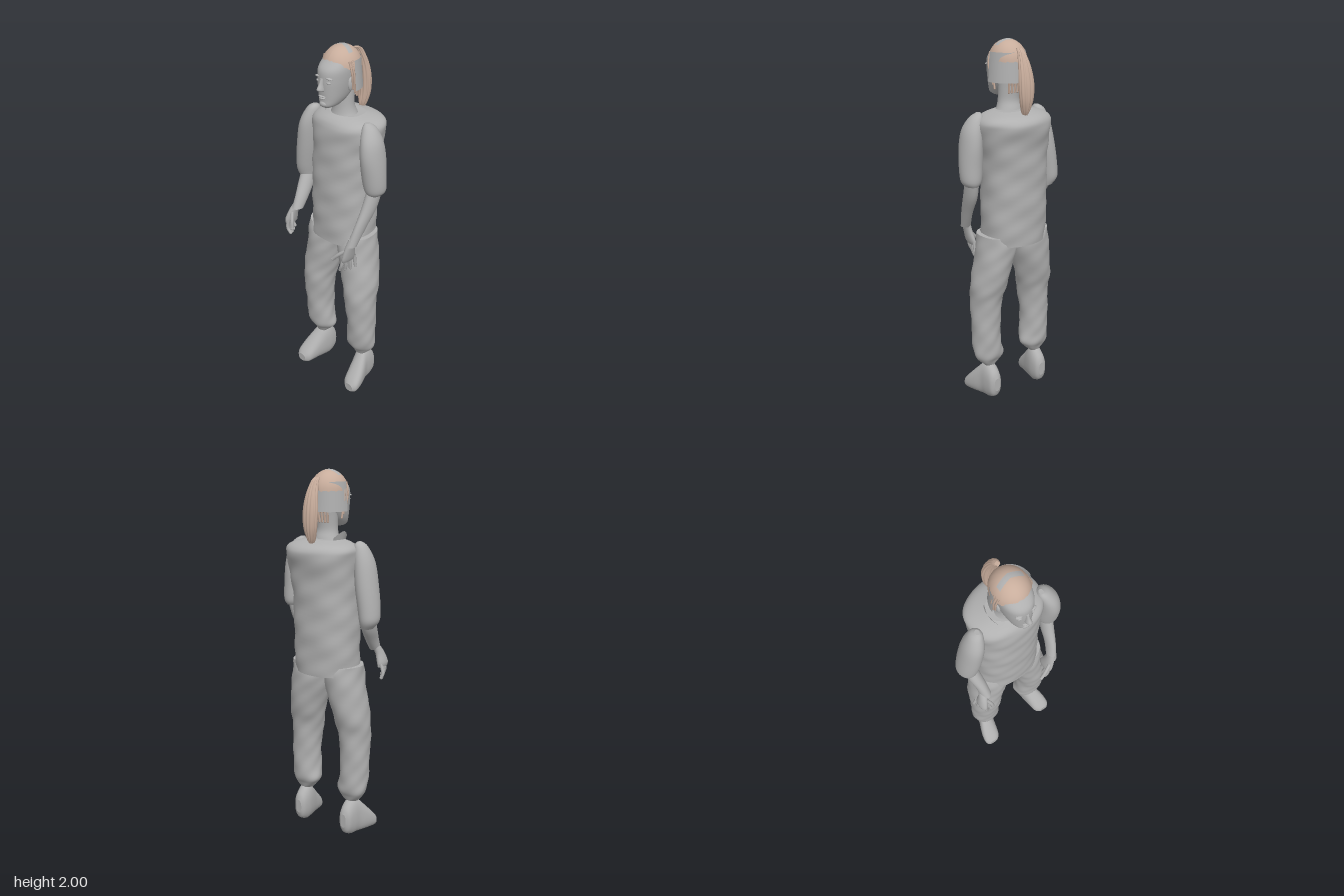
import * as THREE from 'three';

const grey = new THREE.MeshStandardMaterial({ color: 0xb0b0b0, side: THREE.DoubleSide });
grey.name = 'plain grey';
const brown = new THREE.MeshStandardMaterial({ color: 0xc8ad9c, side: THREE.DoubleSide });
brown.name = 'pale brown hair';

function geometryFrom(pos, idx) {
  const g = new THREE.BufferGeometry();
  g.setAttribute('position', new THREE.Float32BufferAttribute(pos, 3));
  g.setIndex(idx);
  g.computeVertexNormals();
  return g;
}

// Smooth interpolation through rows of numbers
function sample(rows, t) {
  const i = Math.min(Math.floor(t), rows.length - 2), f = t - i;
  const at = k => rows[THREE.MathUtils.clamp(k, 0, rows.length - 1)];
  const [a, b, c, d] = [at(i - 1), at(i), at(i + 1), at(i + 2)];
  return b.map((v, k) => v + 0.5 * f * (c[k] - a[k] +
    f * (2 * a[k] - 5 * v + 4 * c[k] - d[k] + f * (3 * (v - c[k]) + d[k] - a[k]))));
}

// Capped body through sections [position, centre x, centre 2, radius x, radius 2]
function loft(sections, { alongZ = false, power = 2, sides = 36, steps = 5, bump = 0, ridges = 0 } = {}) {
  const rings = [], n = (sections.length - 1) * steps;
  for (let i = 0; i <= n; i++) rings.push(sample(sections, i / steps));
  const closed = r => [r[0], r[1], r[2], 0, 0];
  rings.unshift(closed(rings[0]), rings[0]);
  rings.push(rings[rings.length - 1], closed(rings[rings.length - 1]));
  const pos = [], idx = [];
  const flip = (sections[sections.length - 1][0] > sections[0][0]) === alongZ;
  rings.forEach(([p, cx, c2, rx, r2], i) => {
    for (let j = 0; j < sides; j++) {
      const a = j / sides * Math.PI * 2, s = Math.sin(a), c = Math.cos(a);
      const round = v => Math.sign(v) * Math.abs(v) ** (2 / power);
      const k = rx === 0 ? 0 : bump * (Math.sin(p * 31 + 3 * a) + Math.sin(p * 57 - 5 * a + 1)) + ridges * Math.cos(a * 12);
      const x = cx + (Math.max(rx, 0) + k) * round(s), q = c2 + (Math.max(r2, 0) + k) * round(c);
      pos.push(x, alongZ ? q : p, alongZ ? p : q);
      if (i < rings.length - 1) {
        const j2 = (j + 1) % sides;
        const A = i * sides + j, B = i * sides + j2, C = A + sides, D = B + sides;
        idx.push(...(flip ? [A, C, B, B, C, D] : [A, B, C, B, D, C]));
      }
    }
  });
  return geometryFrom(pos, idx);
}

// Open sheet from f(u, v) -> [x, y, z]
function sheet(nu, nv, f) {
  const pos = [], idx = [];
  for (let i = 0; i <= nu; i++) for (let j = 0; j <= nv; j++) {
    pos.push(...f(i / nu, j / nv));
    if (i < nu && j < nv) {
      const a = i * (nv + 1) + j, b = a + nv + 1;
      idx.push(a, a + 1, b, b, a + 1, b + 1);
    }
  }
  return geometryFrom(pos, idx);
}

function add(parent, name, geometry, material = grey) {
  const m = new THREE.Mesh(geometry, material);
  m.name = name;
  parent.add(m);
  return m;
}

function ball(parent, name, p, r, material = grey) {
  const m = add(parent, name, new THREE.SphereGeometry(1, 20, 14), material);
  m.position.set(...p);
  m.scale.set(...r);
  return m;
}

// Rounded finger or strand through points
function strand(parent, name, points, r, material = grey) {
  const path = new THREE.CatmullRomCurve3(points.map(p => new THREE.Vector3(...p)));
  add(parent, name, new THREE.TubeGeometry(path, 8, r, 8), material);
  ball(parent, name + 'Tip', points[points.length - 1], [r, r, r], material);
}

function addHead(root) {
  const head = new THREE.Group();
  head.name = 'head';
  root.add(head);
  const X = 0.012;
  add(head, 'neck', loft([[1.63, 0.015, 0, 0.085, 0.07], [1.66, 0.015, 0, 0.068, 0.06], [1.7, 0.015, 0.004, 0.058, 0.05],
    [1.76, 0.014, 0.002, 0.058, 0.05], [1.82, 0.012, 0, 0.06, 0.055]]));
  // [height, front z, back z, half width]
  const skull = [[1.708, 0.135, 0.075, 0.02], [1.722, 0.152, 0.04, 0.042], [1.755, 0.152, -0.01, 0.06], [1.8, 0.154, -0.055, 0.072],
    [1.85, 0.154, -0.078, 0.08], [1.9, 0.146, -0.08, 0.083], [1.94, 0.108, -0.075, 0.077], [1.97, 0.076, -0.048, 0.056], [1.985, 0.04, -0.01, 0.025]];
  add(head, 'face', loft(skull.map(([y, f, b, w]) => [y, X, (f + b) / 2, w, (f - b) / 2]), { power: 2.2 }));
  add(head, 'nose', loft([[1.862, X, 0.148, 0.008, 0.012], [1.835, X, 0.155, 0.01, 0.016], [1.813, X, 0.16, 0.015, 0.024],
    [1.803, X, 0.158, 0.016, 0.02], [1.796, X, 0.152, 0.008, 0.01]], { sides: 16 }));
  ball(head, 'upperLip', [X, 1.771, 0.151], [0.024, 0.005, 0.011]);
  ball(head, 'lowerLip', [X, 1.761, 0.15], [0.02, 0.006, 0.011]);
  ball(head, 'chin', [X, 1.731, 0.142], [0.024, 0.017, 0.017]);
  for (const s of [-1, 1]) {
    ball(head, 'eye', [X + s * 0.033, 1.844, 0.14], [0.014, 0.006, 0.011]);
    ball(head, 'brow', [X + s * 0.033, 1.866, 0.139], [0.023, 0.006, 0.012]).rotation.z = -s * 0.1;
    ball(head, 'ear', [X + s * 0.082, 1.825, 0.038], [0.01, 0.034, 0.018]);
    // Loose hair beside the face
    for (const k of [0, 1, 2]) strand(head, 'sideHair', [[X + s * 0.084, 1.94, 0.05 - k * 0.014],
      [X + s * 0.097, 1.88, 0.045 - k * 0.014], [X + s * 0.089, 1.8 - k * 0.02, 0.03 - k * 0.014]], 0.005, brown);
  }
  // Hair dome with a hairline that rises over the forehead
  add(head, 'hairCap', sheet(48, 14, (u, v) => {
    const a = u * Math.PI * 2, front = Math.max(0, Math.cos(a)) ** 2;
    const t = v * (1.5 - 0.42 * front + 0.03 * Math.sin(a * 17));
    return [X + 0.096 * Math.sin(t) * Math.sin(a), 1.89 + 0.11 * Math.cos(t), 0.015 + 0.107 * Math.sin(t) * Math.cos(a)];
  }), brown);
  // Arched bare patch on the crown
  add(head, 'crownPatch', sheet(20, 4, (u, v) => {
    const x = (u - 0.5) * 0.13, z = 0.004 + 0.016 * Math.abs(2 * u - 1) + (v - 0.5) * 0.028;
    return [X + x, 1.892 + 0.11 * Math.sqrt(1 - (x / 0.096) ** 2 - ((z - 0.015) / 0.107) ** 2), z];
  }));
  // Band wrapping the back of the head
  const band = add(head, 'headBand', new THREE.CylinderGeometry(0.9, 1, 0.15, 32, 4, true, Math.PI / 2, Math.PI));
  band.position.set(0.014, 1.868, 0.03);
  band.scale.set(0.108, 1, 0.12);
  add(head, 'ponytail', loft([[1.965, 0.014, -0.085, 0.012, 0.012], [1.945, 0.014, -0.106, 0.018, 0.018], [1.88, 0.013, -0.133, 0.032, 0.023],
    [1.8, 0.012, -0.147, 0.041, 0.027], [1.72, 0.012, -0.149, 0.036, 0.026], [1.66, 0.012, -0.14, 0.02, 0.02], [1.63, 0.012, -0.135, 0.005, 0.006]],
    { sides: 48, ridges: 0.0025 }), brown);
  for (let k = -2; k <= 2; k++)
    strand(head, 'napeHair', [[X + k * 0.02, 1.83, -0.064], [X + k * 0.019, 1.78, -0.052], [X + k * 0.017, 1.74, -0.045]], 0.006, brown);
}

function addArm(root, side, sleeve, forearm, palm, fingers, thumb) {
  const arm = new THREE.Group();
  arm.name = side + 'Arm';
  root.add(arm);
  add(arm, 'sleeve', loft(sleeve));
  add(arm, 'forearm', loft(forearm, { sides: 24 }));
  add(arm, 'palm', loft(palm, { sides: 20 }));
  fingers.forEach(f => strand(arm, 'finger', f, 0.009));
  strand(arm, 'thumb', thumb, 0.01);
}

export function createModel() {
  const root = new THREE.Group();
  root.name = 'figure';

  add(root, 'tunic', loft([[0.94, 0, -0.015, 0.18, 0.145], [1.05, 0, -0.018, 0.18, 0.148], [1.2, 0, -0.02, 0.18, 0.15],
    [1.35, 0.003, -0.023, 0.18, 0.151], [1.48, 0.01, -0.03, 0.188, 0.153], [1.57, 0.014, -0.038, 0.2, 0.16], [1.61, 0.014, -0.04, 0.195, 0.152],
    [1.635, 0.013, -0.035, 0.16, 0.125], [1.652, 0.013, -0.02, 0.1, 0.08]], { power: 2.25, sides: 64, steps: 7, bump: 0.0018 }));
  add(root, 'collarFlap', sheet(10, 3, (u, v) => {
    const z = -0.07 + 0.12 * u;
    return [-0.085 - 0.012 * v + 0.02 * (2 * u - 1) ** 2, 1.635 + v * (0.03 + 0.03 * Math.sin(u * Math.PI)), z];
  }));

  // Trousers and shoes
  for (const s of [-1, 1]) {
    const mirror = rows => rows.map(([p, x, ...rest]) => [p, s * x, ...rest]);
    const leg = new THREE.Group();
    leg.name = s > 0 ? 'leftLeg' : 'rightLeg';
    root.add(leg);
    add(leg, 'trouser', loft(mirror([[0.99, 0.12, -0.01, 0.086, 0.105], [0.94, 0.107, -0.008, 0.103, 0.12], [0.85, 0.118, -0.006, 0.104, 0.118],
      [0.7, 0.147, 0.006, 0.098, 0.107], [0.6, 0.157, 0.019, 0.088, 0.095], [0.45, 0.164, 0.014, 0.08, 0.083], [0.33, 0.16, 0.01, 0.083, 0.077],
      [0.27, 0.153, 0.004, 0.085, 0.069], [0.235, 0.155, 0, 0.064, 0.05], [0.205, 0.155, 0, 0.036, 0.036]]),
      { sides: 44, bump: 0.0016 }));
    add(leg, 'shoe', loft(mirror([[-0.086, 0.155, 0.1, 0.018, 0.04], [-0.07, 0.157, 0.1, 0.036, 0.075], [-0.03, 0.158, 0.108, 0.045, 0.104],
      [0.01, 0.163, 0.108, 0.047, 0.106], [0.05, 0.175, 0.088, 0.051, 0.086], [0.09, 0.185, 0.066, 0.053, 0.064],
      [0.13, 0.192, 0.044, 0.048, 0.042], [0.15, 0.195, 0.036, 0.028, 0.024]]), { alongZ: true, power: 2.3 }));
  }

  addArm(root, 'left',
    [[1.645, 0.19, 0.02, 0.012, 0.015], [1.62, 0.205, 0.02, 0.035, 0.04], [1.56, 0.225, 0.025, 0.05, 0.065], [1.48, 0.235, 0.025, 0.056, 0.075],
      [1.38, 0.24, 0.02, 0.06, 0.068], [1.3, 0.244, 0.013, 0.054, 0.06], [1.27, 0.244, 0.01, 0.034, 0.045]],
    [[1.3, 0.24, 0.01, 0.034, 0.045], [1.2, 0.233, 0.042, 0.032, 0.05], [1.1, 0.222, 0.095, 0.025, 0.042], [1.0, 0.204, 0.142, 0.026, 0.03]],
    [[1.04, 0.208, 0.135, 0.02, 0.026], [0.98, 0.192, 0.142, 0.02, 0.034], [0.92, 0.178, 0.138, 0.019, 0.046], [0.895, 0.172, 0.134, 0.014, 0.044]],
    [0, 1, 2, 3].map(k => [[0.172 + k * 0.003, 0.915, 0.17 - k * 0.025], [0.162 + k * 0.006, 0.87, 0.174 - k * 0.028],
      [0.148 + k * 0.011, 0.833 + Math.abs(k - 1.5) * 0.005, 0.17 - k * 0.028]]),
    [[0.185, 0.97, 0.16], [0.145, 0.935, 0.178], [0.112, 0.9, 0.187]]);

  addArm(root, 'right',
    [[1.645, -0.175, 0.02, 0.012, 0.015], [1.62, -0.185, 0.02, 0.035, 0.04], [1.54, -0.205, 0.025, 0.052, 0.065], [1.42, -0.224, 0.02, 0.058, 0.072],
      [1.3, -0.243, 0.015, 0.056, 0.068], [1.24, -0.248, 0.01, 0.05, 0.06], [1.2, -0.236, 0.01, 0.032, 0.042]],
    [[1.25, -0.24, 0.01, 0.036, 0.045], [1.18, -0.23, 0.045, 0.036, 0.05], [1.12, -0.22, 0.085, 0.031, 0.045], [1.06, -0.215, 0.125, 0.028, 0.035]],
    [[1.09, -0.222, 0.11, 0.02, 0.026], [1.04, -0.238, 0.135, 0.022, 0.032], [0.99, -0.25, 0.143, 0.023, 0.042], [0.965, -0.252, 0.142, 0.017, 0.04]],
    [0, 1, 2, 3].map(k => [[-0.245 - k * 0.006, 0.985, 0.174 - k * 0.022], [-0.246 - k * 0.011, 0.935, 0.176 - k * 0.024],
      [-0.23 - k * 0.014, 0.902 + Math.abs(k - 1.5) * 0.006, 0.172 - k * 0.024]]),
    [[-0.23, 1.035, 0.155], [-0.212, 0.99, 0.175], [-0.207, 0.95, 0.18]]);

  addHead(root);
  return root;
}
